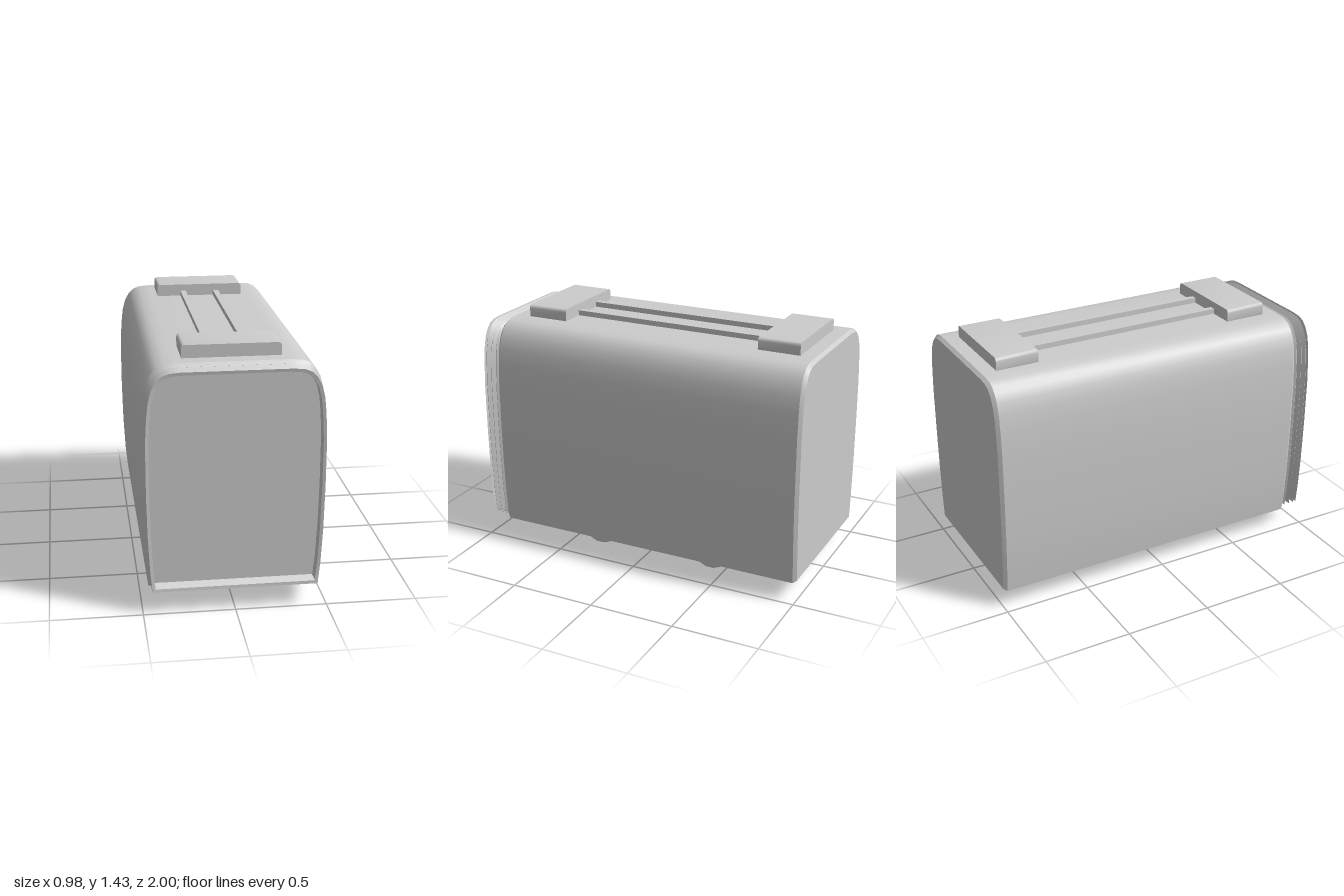
import * as THREE from 'three';
import { toCreasedNormals } from 'three/addons/utils/BufferGeometryUtils.js';

const MID_Y = 0.745, HALF_W = 0.49, HALF_H = 0.625;

// Right half of the carriage cross-section, from floor to roof
const half = [[0.463, 0.12], [0.475, 0.25], [0.485, 0.45], [0.49, 0.7], [0.49, 0.98], [0.482, 1.12],
  [0.472, 1.21], [0.455, 1.275], [0.43, 1.32], [0.4, 1.35], [0.36, 1.365], [0.3, 1.37]];
const section = [...half, ...half.slice().reverse().map(([x, y]) => [-x, y])];

// Skin through the section, at [z, inset] stations of rising z
function loft(stations, capped, crease) {
  const n = section.length, pos = [], index = [];
  for (const [z, inset] of stations) {
    const sx = 1 - inset / HALF_W, sy = 1 - inset / HALF_H;
    for (const [x, y] of section) pos.push(x * sx, MID_Y + (y - MID_Y) * sy, z);
  }
  for (let i = 0; i < stations.length - 1; i++) {
    for (let j = 0; j < n; j++) {
      const k = (j + 1) % n, a = i * n, b = a + n;
      index.push(a + j, a + k, b + k, a + j, b + k, b + j);
    }
  }
  if (capped) {
    const last = (stations.length - 1) * n;
    for (let j = 1; j < n - 1; j++) {
      index.push(0, j + 1, j, last, last + j, last + j + 1);
    }
  }
  const geo = new THREE.BufferGeometry();
  geo.setAttribute('position', new THREE.Float32BufferAttribute(pos, 3));
  geo.setIndex(index);
  return toCreasedNormals(geo, crease);
}

export function createModel() {
  const group = new THREE.Group();
  const grey = new THREE.MeshStandardMaterial({ color: 0xcccccc, side: THREE.DoubleSide });
  grey.name = 'grey';

  const add = (name, geo, x = 0, y = 0, z = 0) => {
    const mesh = new THREE.Mesh(geo, grey);
    mesh.name = name;
    mesh.position.set(x, y, z);
    group.add(mesh);
    return mesh;
  };

  // Closed carriage body with small bevels at both ends
  add('body', loft([[-1, 0.015], [-0.98, 0], [0.88, 0], [0.9, 0.018]], true, 0.6));

  // Open folded gangway at the front
  const folds = [[0.89, 0.03]];
  for (let i = 0; i < 3; i++) {
    folds.push([0.915 + i * 0.033, 0.014], [0.931 + i * 0.033, 0.033]);
  }
  folds.push([1, 0.016]);
  add('gangwayBellows', loft(folds, false, 0.6));

  // Roof boxes with rounded upper and lower side edges
  const w = 0.265, h = 0.085, r = 0.02;
  const box = new THREE.Shape();
  box.moveTo(-w + r, 0);
  box.lineTo(w - r, 0);
  box.quadraticCurveTo(w, 0, w, r);
  box.lineTo(w, h - r);
  box.quadraticCurveTo(w, h, w - r, h);
  box.lineTo(-w + r, h);
  box.quadraticCurveTo(-w, h, -w, h - r);
  box.lineTo(-w, r);
  box.quadraticCurveTo(-w, 0, -w + r, 0);
  const boxGeo = toCreasedNormals(
    new THREE.ExtrudeGeometry(box, { depth: 0.245, bevelEnabled: false, curveSegments: 3 }), 0.6);
  add('roofBoxFront', boxGeo, 0, 1.355, 0.55);
  add('roofBoxRear', boxGeo, 0, 1.355, -0.898);

  // Roof conduits between the boxes
  for (const x of [-0.103, 0.103]) {
    add('roofConduit', new THREE.BoxGeometry(0.034, 0.04, 1.22), x, 1.38, -0.05);
  }

  // Underframe plate just below the floor
  add('underframe', new THREE.BoxGeometry(0.74, 0.015, 0.84), 0, 0.1225, -0.045);

  // Wheels: tread outside, thin flange inside
  const profile = [[0, 0.025], [0.09, 0.025], [0.112, 0.02], [0.115, -0.008],
    [0.125, -0.012], [0.123, -0.018], [0.1, -0.026], [0, -0.026]]
    .map(([x, y]) => new THREE.Vector2(x, -y)).reverse();
  profile.reverse();
  const wheelGeo = toCreasedNormals(new THREE.LatheGeometry(profile, 14), 0.6);
  for (const z of [0.32, -0.415]) {
    for (const side of [-1, 1]) {
      const wheel = add('wheel', wheelGeo, side * 0.309, 0.13, z);
      wheel.rotation.z = side * Math.PI / 2;
    }
    const axle = add('axle', new THREE.CylinderGeometry(0.016, 0.016, 0.57, 10), 0, 0.122, z);
    axle.rotation.z = Math.PI / 2;
  }
  return group;
}
